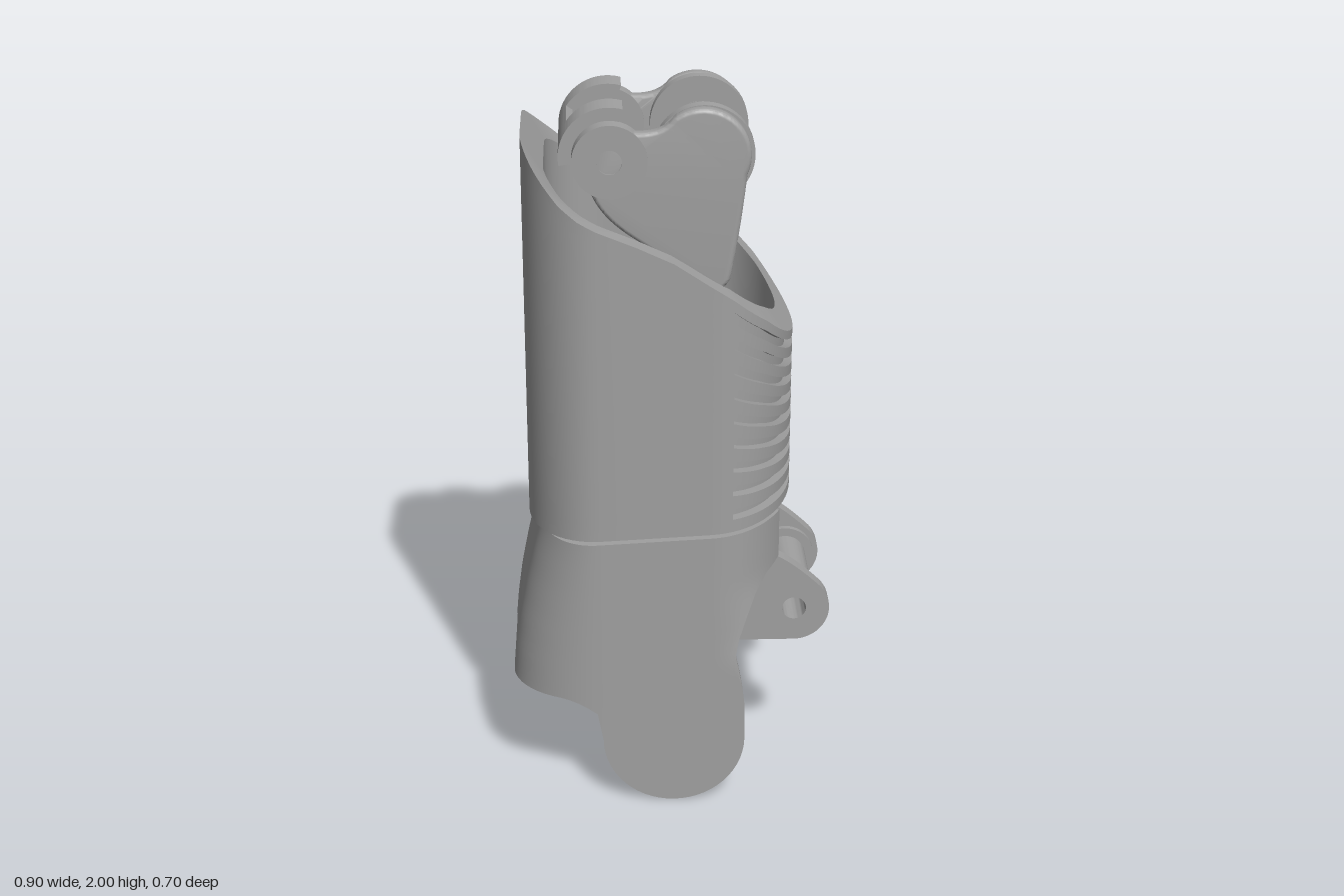
import * as THREE from 'three';
import { toCreasedNormals } from 'three/addons/utils/BufferGeometryUtils.js';

const grey = new THREE.MeshStandardMaterial({ color: 0xa0a0a0 });
grey.name = 'mid grey';

const { clamp, lerp, smoothstep } = THREE.MathUtils;

// piecewise linear lookup in [x, y] pairs
function table(pts, x) {
  if (x <= pts[0][0]) return pts[0][1];
  for (let i = 1; i < pts.length; i++) {
    const [a, ya] = pts[i - 1], [b, yb] = pts[i];
    if (x <= b) return lerp(ya, yb, (x - a) / (b - a));
  }
  return pts[pts.length - 1][1];
}

// wall made of closed vertical loops (outside up, inside down), placed side by side
function loft(loops, closed) {
  const pos = [], n = loops.length, m = loops[0].length;
  for (let i = 0; i < (closed ? n : n - 1); i++) {
    const A = loops[i], B = loops[(i + 1) % n];
    for (let j = 0; j < m; j++) {
      const k = (j + 1) % m;
      pos.push(...A[j], ...B[j], ...B[k], ...A[j], ...B[k], ...A[k]);
    }
  }
  const g = new THREE.BufferGeometry();
  g.setAttribute('position', new THREE.Float32BufferAttribute(pos, 3));
  return toCreasedNormals(g, 0.6);
}

// point on half a rounded outline: 0 back, 1 back corner, 2 side, 3 front corner
function outline(p, seg, t) {
  const a = t * Math.PI / 2;
  if (seg === 0) return [p.x0, t * (p.hz - p.bz)];
  if (seg === 1) return [p.x0 + p.bx * (1 - Math.cos(a)), p.hz - p.bz * (1 - Math.sin(a))];
  if (seg === 2) return [lerp(p.x0 + p.bx, p.x1 - p.fx, t), p.hz];
  return [p.x1 - p.fx * (1 - Math.sin(a)), p.hz - p.fz * (1 - Math.cos(a))];
}

function mesh(parent, name, geometry) {
  const m = new THREE.Mesh(geometry, grey);
  m.name = name;
  parent.add(m);
}

// flat plate between two z depths
function plate(parent, name, shape, z0, z1, bevel = 0) {
  const g = new THREE.ExtrudeGeometry(shape, {
    depth: z1 - z0 - 2 * bevel, curveSegments: 32, bevelEnabled: bevel > 0,
    bevelThickness: bevel, bevelSize: bevel, bevelOffset: -bevel, bevelSegments: 4,
  });
  g.translate(0, 0, z0 + bevel);
  mesh(parent, name, toCreasedNormals(g, 0.6));
}

function circle(x, y, r, hole = 0) {
  const s = new THREE.Shape().absarc(x, y, r, 0, Math.PI * 2);
  if (hole) s.holes.push(new THREE.Path().absarc(x, y, hole, 0, Math.PI * 2, true));
  return s;
}

function arcBand(x, y, r0, r1, a0, a1) {
  return new THREE.Shape().absarc(x, y, r1, a0, a1).absarc(x, y, r0, a1, a0, true);
}

// slanted upper sleeve with grooves round the front
function sleeve() {
  const out = { x0: -0.4, x1: 0.34, hz: 0.35, bx: 0.2, bz: 0.25, fx: 0.24, fz: 0.35 };
  const inn = { x0: -0.34, x1: 0.29, hz: 0.29, bx: 0.16, bz: 0.18, fx: 0.21, fz: 0.29 };
  const rim = [[-0.4, 1.91], [-0.38, 1.875], [-0.35, 1.835], [-0.3, 1.78], [-0.25, 1.743],
    [-0.2, 1.718], [-0.1, 1.677], [0, 1.63], [0.15, 1.53], [0.25, 1.44], [0.34, 1.335]];
  const foot = x => 0.82 + 0.05 * (x + 0.4);

  const rows = [[0, 0]];
  for (let i = 0; i < 9; i++) {
    const v = 0.055 + i * 0.106;
    rows.push([v, 0], [v, 1], [v + 0.048, 1], [v + 0.048, 0]);
  }
  rows.push([1, 0]);

  const keys = [];
  for (let i = 0; i < 4; i++) keys.push([0, i / 4, 0]);
  for (let i = 0; i < 12; i++) keys.push([1, i / 12, 0]);
  for (let i = 0; i < 6; i++) keys.push([2, i / 6, 0]);
  const start = 0.161;
  keys.push([3, 0, 0], [3, 0.08, 0], [3, start, 0]);
  for (let i = 0; i <= 16; i++) keys.push([3, lerp(start, 1, i / 16), 1]);

  const column = ([seg, t, groove], side) => {
    const [xo, zo] = outline(out, seg, t), [xi, zi] = outline(inn, seg, t);
    const loop = rows.map(([v, d]) => {
      const k = d * groove * 0.45;
      return [lerp(xo, xi, k), lerp(foot(xo), table(rim, xo), v), side * lerp(zo, zi, k)];
    });
    for (const v of [1, 0.75, 0.5, 0.25, 0]) {
      loop.push([xi, lerp(foot(xi), table(rim, xi), v), side * zi]);
    }
    return loop;
  };
  const left = keys.map(k => column(k, 1));
  const right = keys.slice(1, -1).reverse().map(k => column(k, -1));
  return loft([...left, ...right], true);
}

// flared lower shell with two rounded legs, open at the front
function lowerShell() {
  const out = { x0: -0.36, x1: 0.31, hz: 0.35, bx: 0.15, bz: 0.2, fx: 0.11, fz: 0.25 };
  const flare = [[0.33, 0.094], [0.42, 0.086], [0.52, 0.072], [0.62, 0.052], [0.72, 0.028], [0.82, 0]];
  const arch = [[0.2, 0.46], [0.203, 0.54], [0.212, 0.59], [0.23, 0.64], [0.26, 0.68], [0.3, 0.7]];
  const ROWS = 32;

  // columns: outline segment, position along it, height of the lower edge
  const keys = [];
  for (let i = 0; i <= 10; i++) {
    const z = 0.15 * i / 10;
    keys.push([0, i / 10, 0.33 + 0.085 * (1 - (z / 0.17) ** 2)]);
  }
  for (let i = 1; i <= 14; i++) {
    const t = i / 14;
    keys.push([1, t, 0.33 - 0.045 * (Math.max(0, t - 0.7) / 0.3) ** 2]);
  }
  for (let i = 0; i <= 28; i++) {
    const a = -Math.PI / 2 + Math.PI * i / 28;
    keys.push([2, (0.2 * Math.sin(a) + 0.21) / 0.41, 0.2 - 0.2 * Math.cos(a)]);
  }
  for (let i = 0; i <= 16; i++) {
    const t = 0.724 * (i / 16) ** 1.5;
    keys.push([3, t, table(arch, outline(out, 3, t)[0])]);
  }

  const column = ([seg, t, bottom], side) => {
    const [xo, zFlat] = outline(out, seg, t);
    const top = 0.809 + 0.05 * (xo + 0.4);
    const zRound = 0.35 * Math.sqrt(1 - (Math.max(0, xo - 0.1) / 0.24) ** 2);
    const outer = [], inner = [];
    for (let i = 0; i <= ROWS; i++) {
      const y = Math.max(bottom, top * i / ROWS);
      // legs stay flat below, front corners are rounder above
      const zo = seg < 2 ? zFlat : lerp(zFlat, Math.min(zFlat, zRound), smoothstep(y, 0.4, 0.7));
      // the wall thickens inwards above the legs
      const rise = clamp((y - 0.4) / 0.3, 0, 1);
      const hz = 0.2 + 0.09 * Math.sqrt(1 - rise * rise);
      const inn = { ...out, x0: out.x0 + 0.07, hz, bx: 0.08, bz: 0.1 };
      let [xi, zi] = outline(inn, seg, t);
      if (seg === 2) xi = xo;
      if (seg === 3) { xi = xo - 0.02 * t; zi = Math.min(zo, hz); }
      // back flare and the waist at the front of each leg
      const shift = -table(flare, y) * clamp((-xo - 0.2) / 0.16, 0, 1)
        - 0.028 * Math.exp(-(((y - 0.46) / 0.09) ** 2)) * clamp((xo - 0.05) / 0.15, 0, 1);
      outer.push([xo + shift, y, side * zo]);
      inner.unshift([xi + shift, y, side * zi]);
    }
    return [...outer, ...inner];
  };
  const left = keys.map(k => column(k, 1));
  const right = keys.slice(1).reverse().map(k => column(k, -1));
  return loft([...right, ...left], false);
}

export function createModel() {
  const model = new THREE.Group();
  model.name = 'jointedLimbSegment';
  mesh(model, 'upperSleeve', sleeve());
  mesh(model, 'lowerShell', lowerShell());

  const bx = -0.165, by = 1.86, px = 0.347, py = 0.533;

  // upper hinge cheeks
  const cheek = new THREE.Shape();
  cheek.moveTo(-0.22, 1.79);
  cheek.quadraticCurveTo(-0.2, 1.71, -0.1, 1.645);
  cheek.lineTo(0.08, 1.52);
  cheek.quadraticCurveTo(0.13, 1.48, 0.155, 1.53);
  cheek.quadraticCurveTo(0.18, 1.66, 0.195, 1.8);
  cheek.absarc(0.08, 1.872, 0.128, -0.4, 2.2);
  cheek.quadraticCurveTo(-0.03, 1.925, -0.13, 1.94);
  cheek.lineTo(-0.22, 1.92);
  cheek.holes.push(new THREE.Path().absarc(bx, by, 0.06, 0, Math.PI * 2, true));

  // lower lugs, fixed inside the front of the shell
  const lug = new THREE.Shape();
  lug.moveTo(0.17, 0.433);
  lug.lineTo(px, 0.433);
  lug.absarc(px, py, 0.1, -Math.PI / 2, 0.8);
  lug.quadraticCurveTo(0.345, 0.675, 0.295, 0.7);
  lug.lineTo(0.295, 0.838);
  lug.lineTo(0.18, 0.832);
  lug.holes.push(new THREE.Path().absarc(px, py, 0.034, 0, Math.PI * 2, true));

  for (const s of [1, -1]) {
    const side = s > 0 ? 'left' : 'right';
    const add = (name, shape, z0, z1, bevel) =>
      plate(model, side + name, shape, s > 0 ? z0 : -z1, s > 0 ? z1 : -z0, bevel);
    add('HingeCheek', cheek, 0.158, 0.2, 0.012);
    add('HingeDisc', circle(0.085, 1.865, 0.135), 0.125, 0.16);
    add('HingeDiscCentre', circle(0.085, 1.865, 0.065), 0.122, 0.126);
    add('HingeCollar', circle(bx, by, 0.1, 0.033), 0.155, 0.204);
    add('BossHood', arcBand(bx, by, 0.034, 0.135, 1.3, 3.3), 0.072, 0.158);
    add('Lug', lug, 0.155, 0.198);
    add('PinCollar', circle(px, py, 0.085, 0.034), 0.138, 0.156);
    add('LegDisc', circle(0, 0.2, 0.09), 0.287, 0.291);
  }

  // cross bar behind the upper bosses and hollow pin between the lugs
  plate(model, 'hoodBridge', arcBand(bx, by, 0.115, 0.135, 2.55, 3.3), -0.08, 0.08);
  plate(model, 'hollowPin', circle(px, py, 0.06, 0.034), -0.14, 0.14);
  return model;
}
